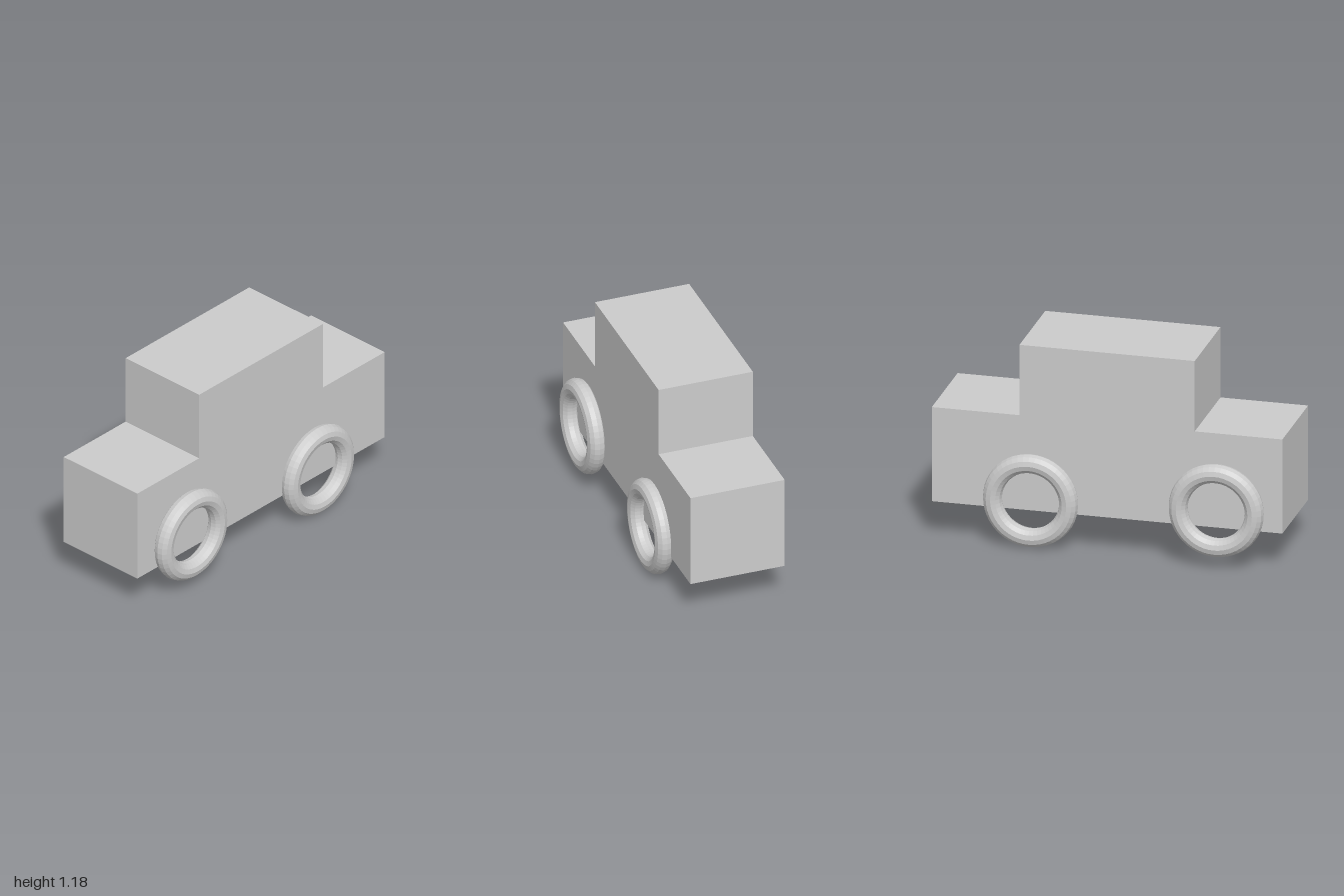
import * as THREE from 'three';

export function createModel() {
  const group = new THREE.Group();
  const material = new THREE.MeshStandardMaterial({ color: 0xcccccc, flatShading: true });

  // Body: stepped side silhouette with hood, cabin and trunk, extruded across the width
  const outline = [
    [-1, 0.216], [1, 0.216], [1, 0.77], [0.5, 0.77],
    [0.5, 1.184], [-0.5, 1.184], [-0.5, 0.77], [-1, 0.77],
  ];
  const silhouette = new THREE.Shape(outline.map(([x, y]) => new THREE.Vector2(x, y)));
  const bodyGeometry = new THREE.ExtrudeGeometry(silhouette, { depth: 0.555, bevelEnabled: false });
  bodyGeometry.translate(0, 0, -0.261);
  const body = new THREE.Mesh(bodyGeometry, material);
  body.name = 'body';
  group.add(body);

  // Wheels: open rings, each set slightly differently against the body
  const wheelGeometry = new THREE.TorusGeometry(0.217, 0.054, 12, 48);
  const wheels = [
    ['frontRightWheel', -0.602, 0.335, 0.327],
    ['frontLeftWheel', 0.433, 0.275, 0.317],
    ['backRightWheel', -0.64, 0.341, -0.326],
    ['backLeftWheel', 0.433, 0.279, -0.275],
  ];
  for (const [name, x, y, z] of wheels) {
    const wheel = new THREE.Mesh(wheelGeometry, material);
    wheel.name = name;
    wheel.position.set(x, y, z);
    group.add(wheel);
  }

  return group;
}
